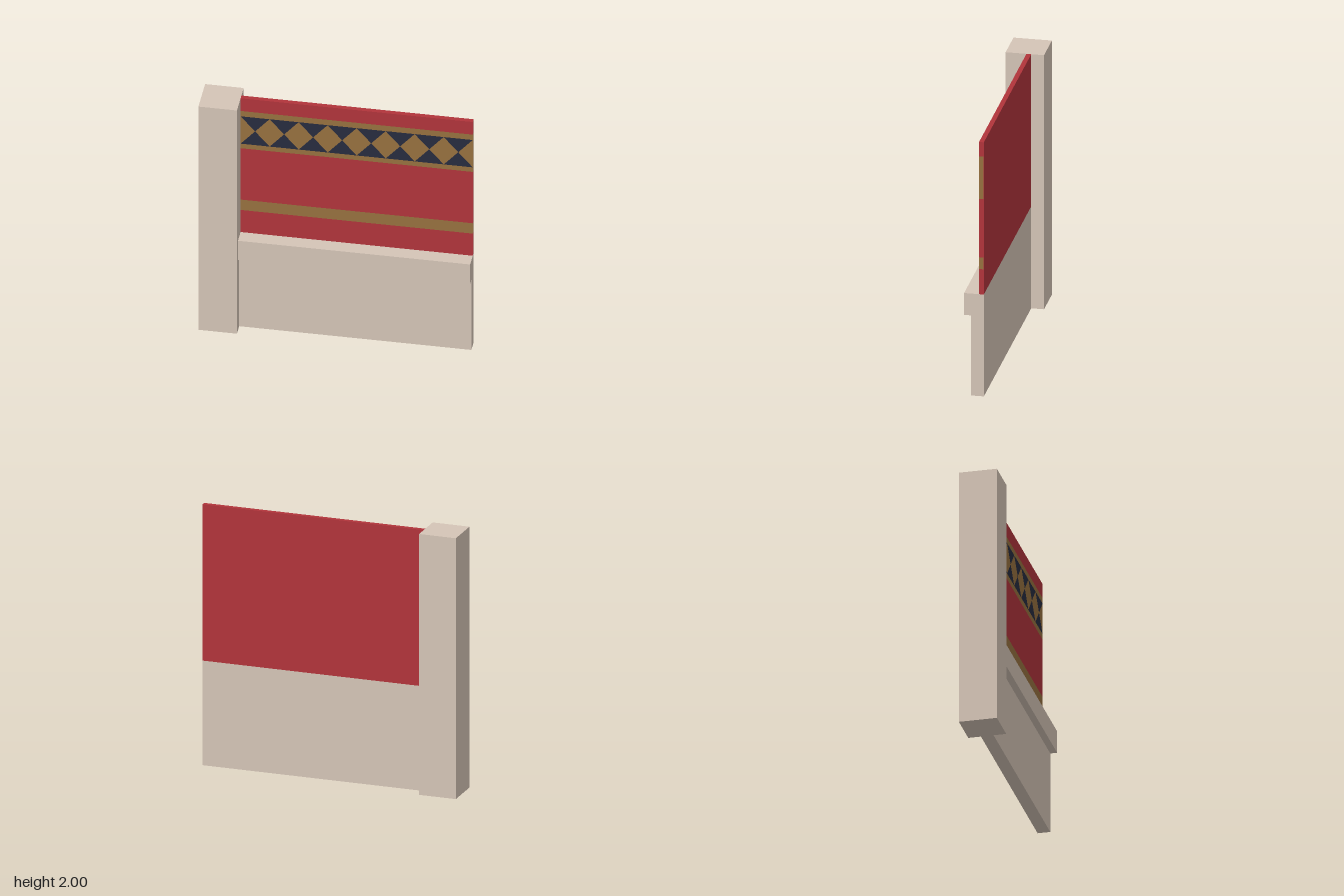
import * as THREE from 'three';

const paint = (color) => new THREE.MeshStandardMaterial({ color });

export function createModel() {
  const model = new THREE.Group();
  const stone = paint(0xd4c4b6), red = paint(0xb1343b), gold = paint(0x96703f), navy = paint(0x272c3f);

  const add = (name, geometry, material) => {
    const mesh = new THREE.Mesh(geometry, material);
    mesh.name = name;
    model.add(mesh);
  };
  // box given by its limits on each axis
  const box = (name, material, [x0, x1], [y0, y1], [z0, z1]) =>
    add(name, new THREE.BoxGeometry(x1 - x0, y1 - y0, z1 - z0)
      .translate((x0 + x1) / 2, (y0 + y1) / 2, (z0 + z1) / 2), material);

  const left = -0.715, right = 1, span = right - left;
  const back = -0.0475, face = -0.012, skin = 0.002;

  // square post at one end
  box('post', stone, [-1, left], [0, 2], [-0.1425, 0.1425]);

  // lower wall with overhanging ledge, profile in (z, y) swept along x
  const profile = [[back, 0], [0.0475, 0], [0.0475, 0.63], [0.099, 0.63], [0.099, 0.802], [back, 0.802]];
  const wall = new THREE.ExtrudeGeometry(
    new THREE.Shape(profile.map(([z, y]) => new THREE.Vector2(z, y))),
    { depth: span, bevelEnabled: false });
  add('lowerWallWithLedge', wall.rotateY(-Math.PI / 2).translate(right, 0, 0), stone);

  // upper wall: plain red back, striped front and end
  box('upperWallBack', red, [left, right], [0.802, 2], [back, back + skin]);
  const stripes = [
    ['lowerRedStripe', red, 0.802, 1.0],
    ['lowerGoldStripe', gold, 1.0, 1.093],
    ['middleRedStripe', red, 1.093, 1.553],
    ['friezeBand', gold, 1.553, 1.887],
    ['upperRedStripe', red, 1.887, 2],
  ];
  for (const [name, material, y0, y1] of stripes) {
    box(name, material, [left, right], [y0, y1], [back + skin, face]);
  }

  // frieze: dark triangles meeting tip to tip, leaving gold diamonds between
  const cells = 8, w = span / cells, low = 1.595, high = 1.84, mid = (low + high) / 2;
  const triangles = [];
  for (let i = 0; i < cells; i++) {
    const x = left + i * w;
    for (const y of [low, high]) {
      triangles.push(new THREE.Shape([
        new THREE.Vector2(x, y), new THREE.Vector2(x + w, y), new THREE.Vector2(x + w / 2, mid),
      ]));
    }
  }
  add('friezeTriangles', new THREE.ShapeGeometry(triangles).translate(0, 0, face + 0.0015), navy);

  return model;
}
